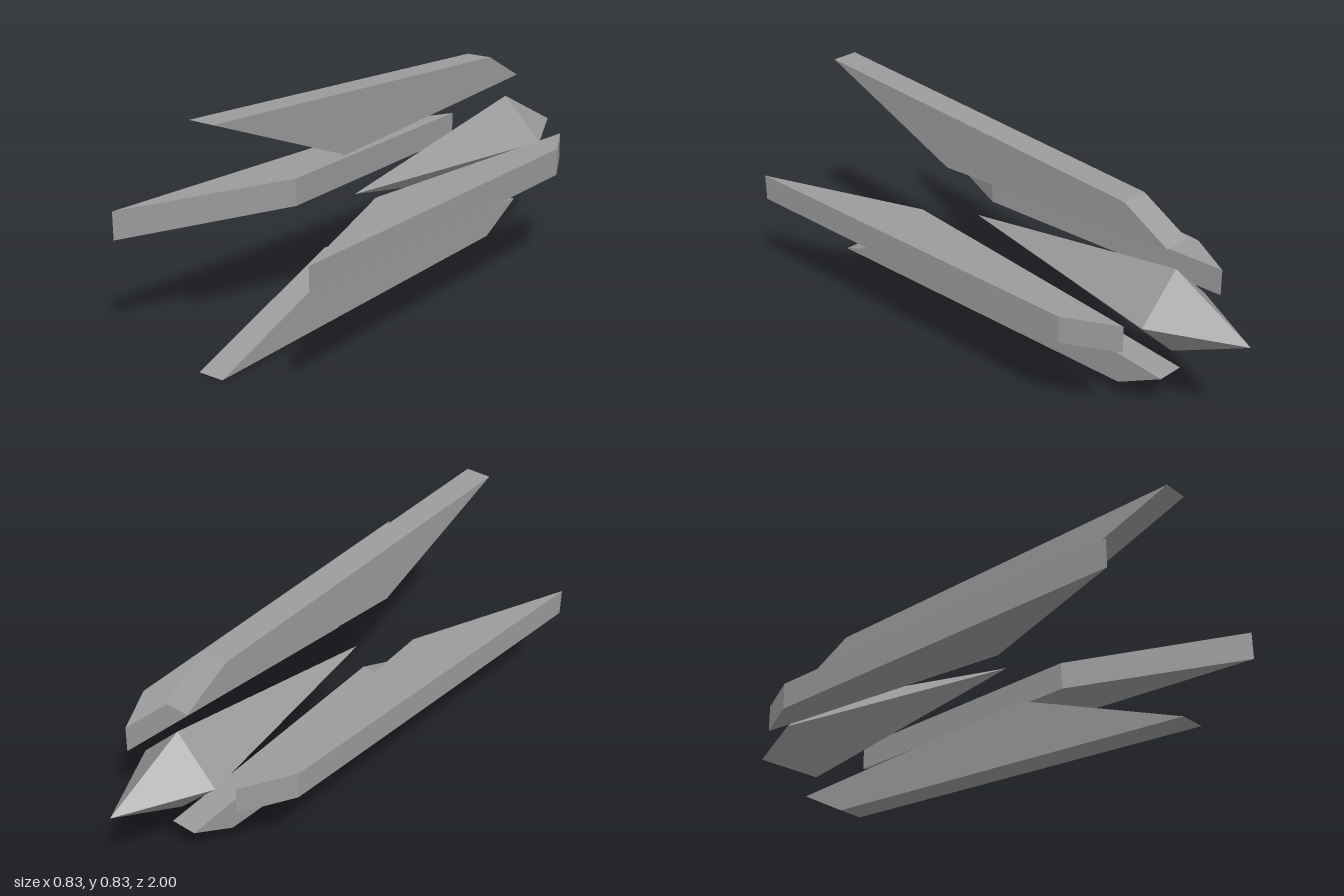
import * as THREE from 'three';

const AXIS_Y = 0.4175;

export function createModel() {
  const model = new THREE.Group();
  const material = new THREE.MeshStandardMaterial({ color: 0x9b9b9b, flatShading: true });

  // Central four-sided spike: long point to the front, short point to the back
  const profile = [[0, -1], [0.16, -0.68], [0, 0.265]].map(([r, z]) => new THREE.Vector2(r, z));
  const coreGeometry = new THREE.LatheGeometry(profile, 4);
  coreGeometry.rotateX(Math.PI / 2);
  const core = new THREE.Mesh(coreGeometry, material);
  core.name = 'core';
  core.position.y = AXIS_Y;
  model.add(core);

  // Blade outline as (distance from axis, z), given an even thickness
  const outline = [[0.4175, 1], [0.355, -0.49], [0.252, -0.68], [0.176, 0.37]];
  const shape = new THREE.Shape(outline.map(([r, z]) => new THREE.Vector2(r, z)));
  const bladeGeometry = new THREE.ExtrudeGeometry(shape, { depth: 0.1, bevelEnabled: false });
  bladeGeometry.translate(0, 0, -0.05);
  bladeGeometry.rotateX(Math.PI / 2);

  // Four blades spaced evenly around the core
  ['leftBlade', 'topBlade', 'rightBlade', 'bottomBlade'].forEach((name, i) => {
    const blade = new THREE.Mesh(bladeGeometry, material);
    blade.name = name;
    blade.position.y = AXIS_Y;
    blade.rotation.z = (i * Math.PI) / 2;
    model.add(blade);
  });

  return model;
}
